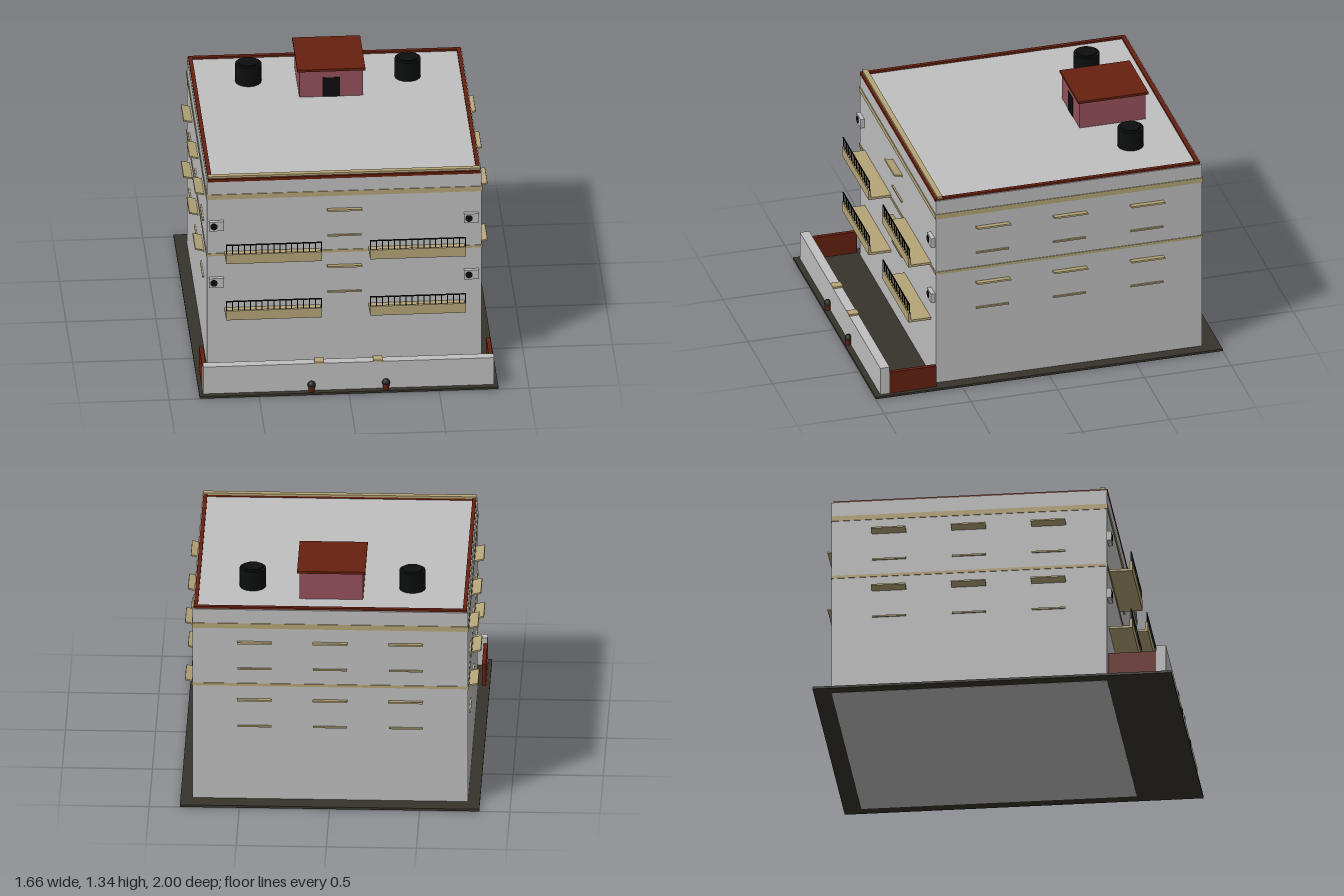
import * as THREE from 'three';

const mat = (name, color) => {
  const m = new THREE.MeshStandardMaterial({ color });
  m.name = name;
  return m;
};

export function createModel() {
  const model = new THREE.Group();
  model.name = 'building';
  const wall = mat('wall grey', 0xc0c0c0);
  const tan = mat('trim tan', 0xb5a578);
  const red = mat('brick red', 0x66200f);
  const pink = mat('stair house pink', 0x95515a);
  const paving = mat('paving dark', 0x36342c);
  const black = mat('black', 0x0d0e0f);
  const leaf = mat('leaf dark green', 0x20261f);

  const add = (parent, name, geo, material, x = 0, y = 0, z = 0) => {
    const m = new THREE.Mesh(geo, material);
    m.name = name;
    m.position.set(x, y, z);
    parent.add(m);
    return m;
  };
  // Box given by its minimum and maximum on each axis
  const box = (name, material, x0, x1, y0, y1, z0, z1, parent = model) =>
    add(parent, name, new THREE.BoxGeometry(x1 - x0, y1 - y0, z1 - z0), material,
      (x0 + x1) / 2, (y0 + y1) / 2, (z0 + z1) / 2);
  const group = (name, x = 0, y = 0, z = 0) => {
    const g = new THREE.Group();
    g.name = name;
    g.position.set(x, y, z);
    model.add(g);
    return g;
  };

  const W = 0.763, ZF = 0.635, ZB = -0.9, TOP = 1.163;

  // Ground slab, main block and floor bands
  box('groundSlab', paving, -0.83, 0.83, 0.001, 0.014, -1, 1);
  box('mainBlock', wall, -W, W, 0, TOP, ZB, ZF);
  for (const [y0, y1] of [[1.05, 1.08], [0.7, 0.716]])
    box('floorBand', tan, -W - 0.004, W + 0.004, y0, y1, ZB - 0.004, ZF + 0.004);

  // Roof edging
  for (const s of [-1, 1])
    box('sideCoping', red, s * 0.746 - 0.011, s * 0.746 + 0.011, 1.158, 1.175, -0.89, 0.625);
  box('backCoping', red, -0.757, 0.757, 1.158, 1.175, -0.89, -0.867);
  box('frontCoping', red, -0.757, 0.757, 1.158, 1.174, 0.595, 0.637);
  box('frontCap', tan, -0.757, 0.757, 1.174, 1.186, 0.594, 0.624);

  // Stair house on the roof
  box('stairHouse', pink, -0.177, 0.177, TOP, 1.322, -0.742, -0.362);
  box('stairHouseRoof', red, -0.189, 0.189, 1.322, 1.336, -0.756, -0.352);
  box('stairHouseDoor', black, -0.048, 0.048, TOP, 1.28, -0.364, -0.359);

  // Water tanks
  for (const x of [-0.445, 0.44]) {
    const tank = group('waterTank', x, 0, -0.58);
    add(tank, 'tankBody', new THREE.CylinderGeometry(0.073, 0.073, 0.112, 16), black, 0, 1.22, 0);
    add(tank, 'tankLid', new THREE.CylinderGeometry(0.056, 0.056, 0.01, 16), black, 0, 1.281, 0);
  }

  // Awnings and sills, laid out along each wall (local z points outward)
  const facades = [
    ['front', 0, 0, ZF, [0]],
    ['back', Math.PI, 0, ZB, [-0.42, 0, 0.42]],
    ['left', Math.PI / 2, W, 0, [-0.31, 0.135, 0.58]],
    ['right', -Math.PI / 2, -W, 0, [0.31, -0.135, -0.58]],
  ];
  for (const [name, turn, x, z, centres] of facades) {
    const side = group(name + 'WindowTrim', x, 0, z);
    side.rotation.y = turn;
    for (const c of centres) for (const y of [0.973, 0.624]) {
      const awning = add(side, 'awning', new THREE.BoxGeometry(0.192, 0.009, 0.052), tan, c, y, 0.024);
      awning.rotation.x = -0.24;
      box('sill', tan, c - 0.094, c + 0.094, y - 0.172, y - 0.163, -0.005, 0.009, side);
    }
  }

  // Balconies with railings
  for (const s of [-1, 1]) for (const y of [0.363, 0.712]) {
    const b = group('balcony', s * 0.4, y, 0);
    const h = 0.266;
    box('balconyFloor', tan, -h, h, 0, 0.014, ZF - 0.005, 0.765, b);
    box('balconyLip', tan, -h, h, 0.014, 0.057, 0.75, 0.765, b);
    box('topRail', black, -h, h, 0.11, 0.116, 0.756, 0.762, b);
    for (let i = 0; i <= 16; i++) {
      const x = -h + 0.003 + i * (2 * h - 0.006) / 16;
      box('baluster', black, x - 0.0025, x + 0.0025, 0.055, 0.112, 0.7565, 0.7615, b);
    }
  }

  // Air conditioners
  for (const x of [-0.712, 0.705]) for (const y of [0.892, 0.542]) {
    const ac = group('airConditioner', x, y, 0);
    box('acCase', wall, -0.041, 0.041, -0.028, 0.028, ZF - 0.005, 0.658, ac);
    const fan = add(ac, 'acFan', new THREE.CylinderGeometry(0.02, 0.02, 0.006, 12), black, -0.014, 0, 0.659);
    fan.rotation.x = Math.PI / 2;
  }

  // Yard walls, gate caps and potted bushes
  box('frontYardWall', wall, -0.808, 0.808, 0.01, 0.18, 0.914, 0.968);
  for (const s of [-1, 1]) {
    box('sideYardWall', red, s * 0.797 - 0.011, s * 0.797 + 0.011, 0.01, 0.146, 0.645, 0.914);
    box('wallCap', tan, s * 0.163 - 0.026, s * 0.163 + 0.026, 0.178, 0.19, 0.912, 0.97);
    const plant = group('pottedBush', s * 0.207, 0, 0.98);
    add(plant, 'pot', new THREE.CylinderGeometry(0.019, 0.016, 0.032, 10), red, 0, 0.03, 0);
    add(plant, 'bush', new THREE.SphereGeometry(0.023, 10, 8), leaf, 0, 0.055, 0).scale.z = 0.85;
  }
  return model;
}
